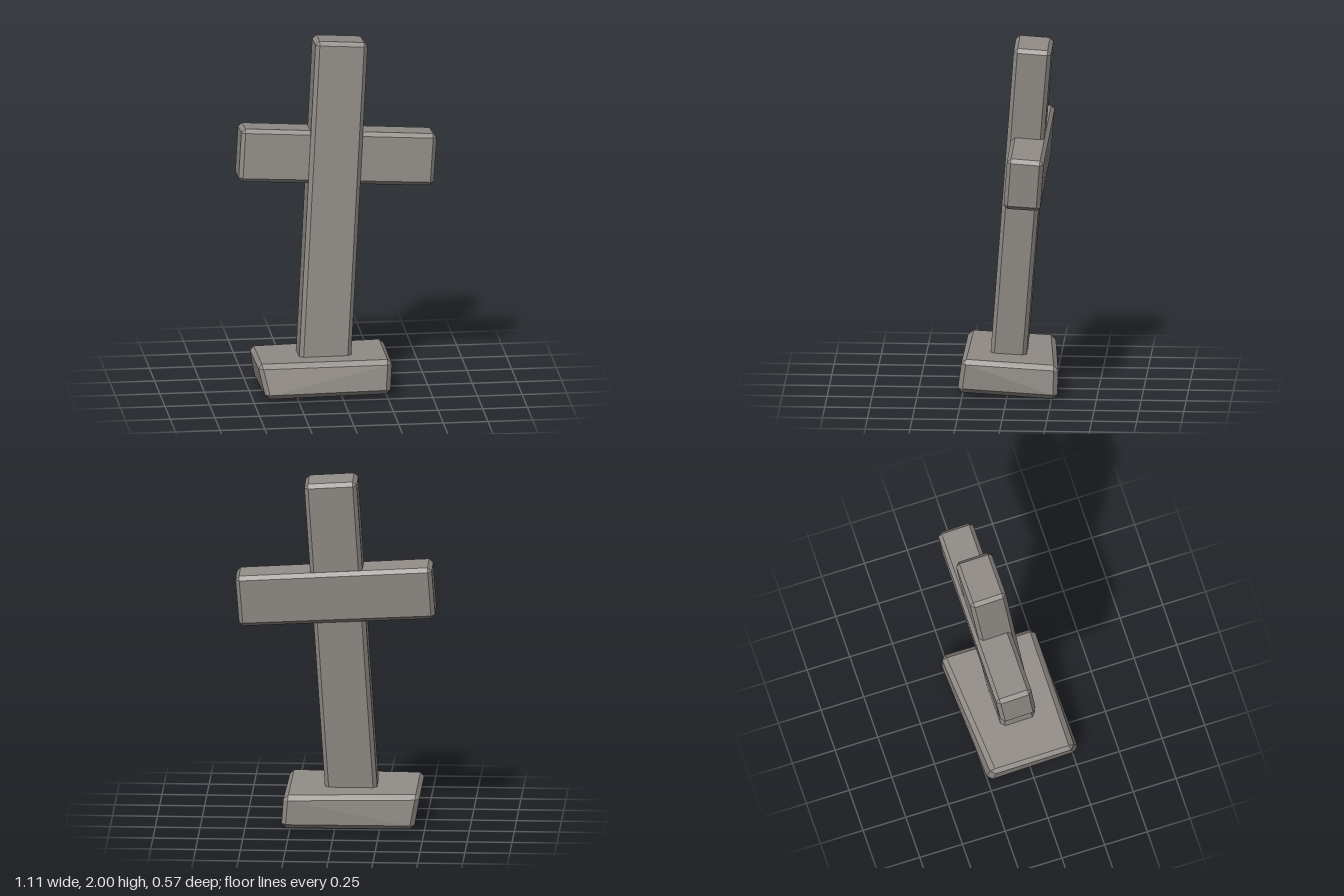
import * as THREE from 'three';
import { ConvexGeometry } from 'three/addons/geometries/ConvexGeometry.js';

// Bevelled block from eight corners. Corner index bits: 1 = +x, 2 = +y, 4 = +z.
function bevelledBlock(name, material, corners, bevel) {
  const c = corners.map((p) => new THREE.Vector3(...p));
  const points = [];
  for (let i = 0; i < 8; i++) {
    const inward = [1, 2, 4].map((bit) =>
      c[i ^ bit].clone().sub(c[i]).setLength(bevel));
    // one point on each of the three faces meeting at this corner
    for (let a = 0; a < 3; a++) {
      points.push(c[i].clone().add(inward[a]).add(inward[(a + 1) % 3]));
    }
  }
  const mesh = new THREE.Mesh(new ConvexGeometry(points), material);
  mesh.name = name;
  return mesh;
}

export function createModel() {
  const group = new THREE.Group();
  group.name = 'graveCross';
  const stone = new THREE.MeshStandardMaterial({ color: 0x918c87, flatShading: true });
  stone.name = 'grey stone';

  // Uneven plinth, tilted slightly back
  group.add(bevelledBlock('plinth', stone, [
    [-0.44, 0.0, -0.25], [0.3, 0.008, -0.285],
    [-0.475, 0.197, -0.235], [0.285, 0.197, -0.29],
    [-0.435, 0.028, 0.29], [0.26, 0.033, 0.275],
    [-0.48, 0.22, 0.245], [0.275, 0.225, 0.25],
  ], 0.026));

  // Upright, leaning right and back, its foot sunk into the plinth
  group.add(bevelledBlock('upright', stone, [
    [-0.235, 0.09, -0.09], [0.055, 0.07, -0.09],
    [-0.12, 1.988, -0.245], [0.172, 1.97, -0.245],
    [-0.235, 0.1, 0.11], [0.055, 0.08, 0.11],
    [-0.12, 2.002, -0.035], [0.172, 1.984, -0.035],
  ], 0.022));

  // Crossbar, tilted with the upright and standing proud at the back
  group.add(bevelledBlock('crossbar', stone, [
    [-0.557, 1.2, -0.205], [0.535, 1.142, -0.2],
    [-0.537, 1.497, -0.23], [0.557, 1.432, -0.222],
    [-0.557, 1.212, 0.0], [0.535, 1.154, 0.004],
    [-0.537, 1.512, -0.022], [0.557, 1.447, -0.018],
  ], 0.022));

  return group;
}
